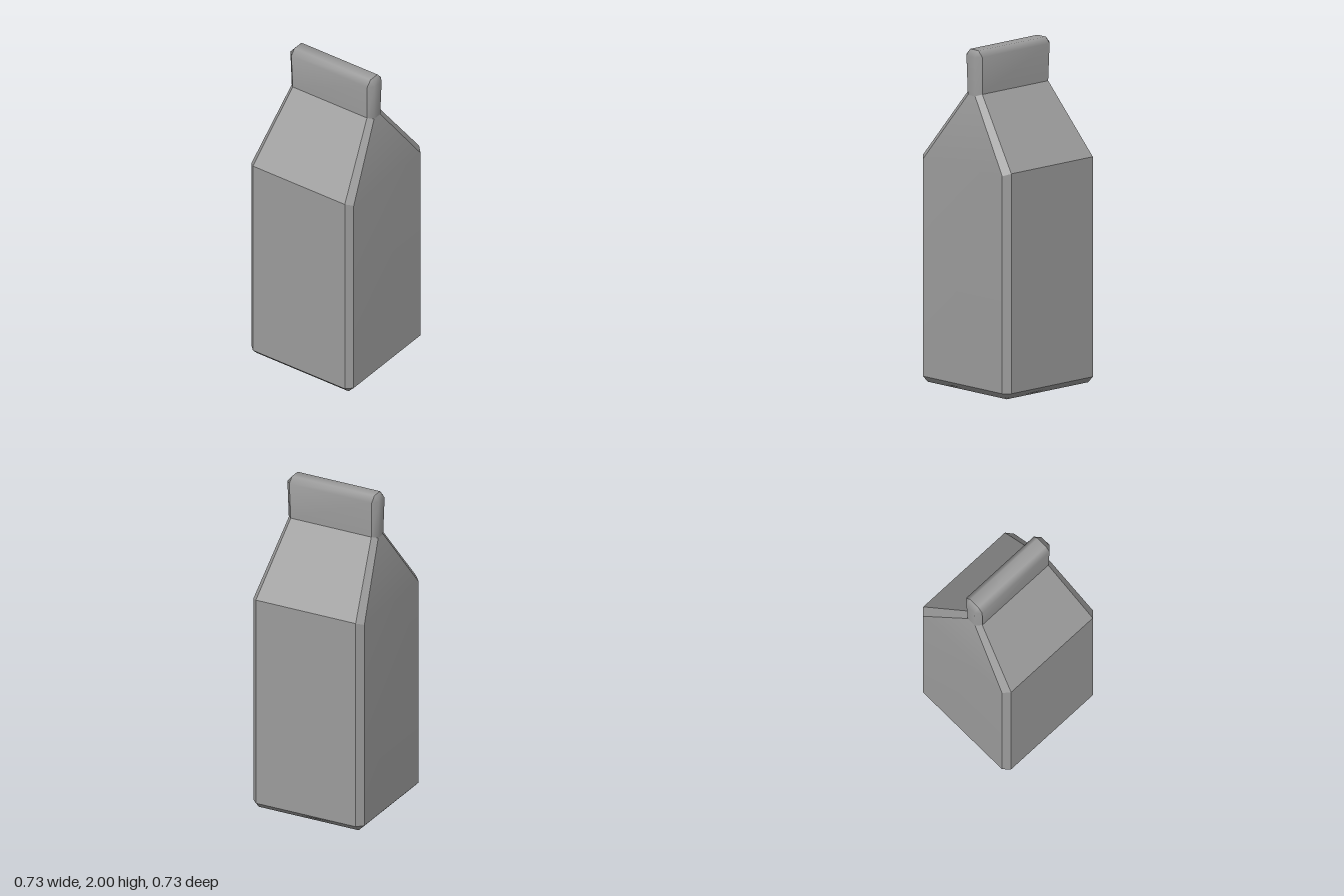
import * as THREE from 'three';
import { mergeGeometries } from 'three/addons/utils/BufferGeometryUtils.js';

const v = (x, y, z) => new THREE.Vector3(x, y, z);

// Smooth patch of convex faces over shared points, skipping collapsed triangles.
function patch(points, faces) {
  const index = [];
  for (const f of faces) {
    for (let i = 1; i < f.length - 1; i++) {
      const t = [f[0], f[i], f[i + 1]];
      const [a, b, c] = t.map((k) => points[k]);
      const area = b.clone().sub(a).cross(c.clone().sub(a)).length();
      if (area > 1e-7) index.push(...t);
    }
  }
  const geo = new THREE.BufferGeometry().setFromPoints(points);
  geo.setIndex(index);
  geo.computeVertexNormals();
  return geo.toNonIndexed();
}

// Chamfered rectangle: f is the corner on the front/back faces, s on the side faces.
function ring(f, s) {
  return [
    v(f.x, f.y, f.z), v(s.x, s.y, s.z), v(s.x, s.y, -s.z), v(f.x, f.y, -f.z),
    v(-f.x, f.y, -f.z), v(-s.x, s.y, -s.z), v(-s.x, s.y, s.z), v(-f.x, f.y, f.z),
  ];
}

// Wall face i between ring r and the ring above it.
function wall(r, i) {
  const a = r * 8 + i, b = r * 8 + (i + 1) % 8;
  return [a, b, b + 8, a + 8];
}

export function createModel() {
  const group = new THREE.Group();
  const material = new THREE.MeshStandardMaterial({ color: 0x9c9c9c });
  const add = (name, geo, parent = group) => {
    const mesh = new THREE.Mesh(geo, material);
    mesh.name = name;
    parent.add(mesh);
    return mesh;
  };

  const base = v(0.327, 0, 0.327);
  const neckF = v(0.264, 1.745, 0.06), neckS = v(0.293, 1.733, 0.03);
  const rimF = v(0.27, 1.965, 0.066), rimS = v(0.3, 1.965, 0.034);
  const top = v(0.27, 2, 0.034);
  const sides = [0, 1, 2, 3, 4, 5, 6, 7];

  // Base: bottom panel with a softly shaded bevel
  const foot = ring(v(0.327, 0.038, 0.364), v(0.364, 0.038, 0.327));
  const bottom = [0, 3, 4, 7].map((i) => ring(base, base)[i]);
  const corner = [0, 0, 1, 1, 2, 2, 3, 3];
  const baseFaces = sides.map((i) => {
    const j = (i + 1) % 8;
    return [corner[i], corner[j], j + 4, i + 4];
  });
  // corner triangles drop their repeated point
  const bevel = baseFaces.map((f) => f.filter((k, n) => f.indexOf(k) === n));
  add('base', patch([...bottom, ...foot], [[3, 2, 1, 0], ...bevel]));

  // Carton body: hard fold on front, back and corners, side panels run on smoothly
  const points = [
    ...foot,
    ...ring(v(0.327, 1.335, 0.364), v(0.364, 1.32, 0.327)),
    ...ring(neckF, neckS),
  ];
  const panels = sides.flatMap((i) => (i === 1 || i === 5
    ? [patch(points, [wall(0, i), wall(1, i)])]
    : [patch(points, [wall(0, i)]), patch(points, [wall(1, i)])]));
  add('cartonBody', mergeGeometries(panels));

  // Sealed top fin: one softly shaded strip over front, top and back
  const fin = new THREE.Group();
  fin.name = 'topFin';
  group.add(fin);
  const back = (p) => v(p.x, p.y, -p.z);
  const half = [neckF, rimF, top];
  const profile = [...half, ...half.map(back).reverse()];
  const strip = profile.flatMap((p) => [v(-p.x, p.y, p.z), p]);
  const stripFaces = [0, 2, 4, 6, 8].map((i) => [i, i + 1, i + 3, i + 2]);
  add('finStrip', patch(strip, stripFaces), fin);

  // Bevelled ends of the fin
  const end = [
    neckF, neckS, back(neckS), back(neckF),
    rimF, rimS, back(rimS), back(rimF), top, back(top),
  ];
  const endGeo = patch(end, [
    [0, 1, 5, 4], [1, 2, 6, 5], [2, 3, 7, 6],
    [4, 5, 8], [5, 6, 9, 8], [6, 7, 9],
  ]);
  add('finEndLeft', endGeo, fin);
  add('finEndRight', endGeo, fin).rotation.y = Math.PI;

  return group;
}
